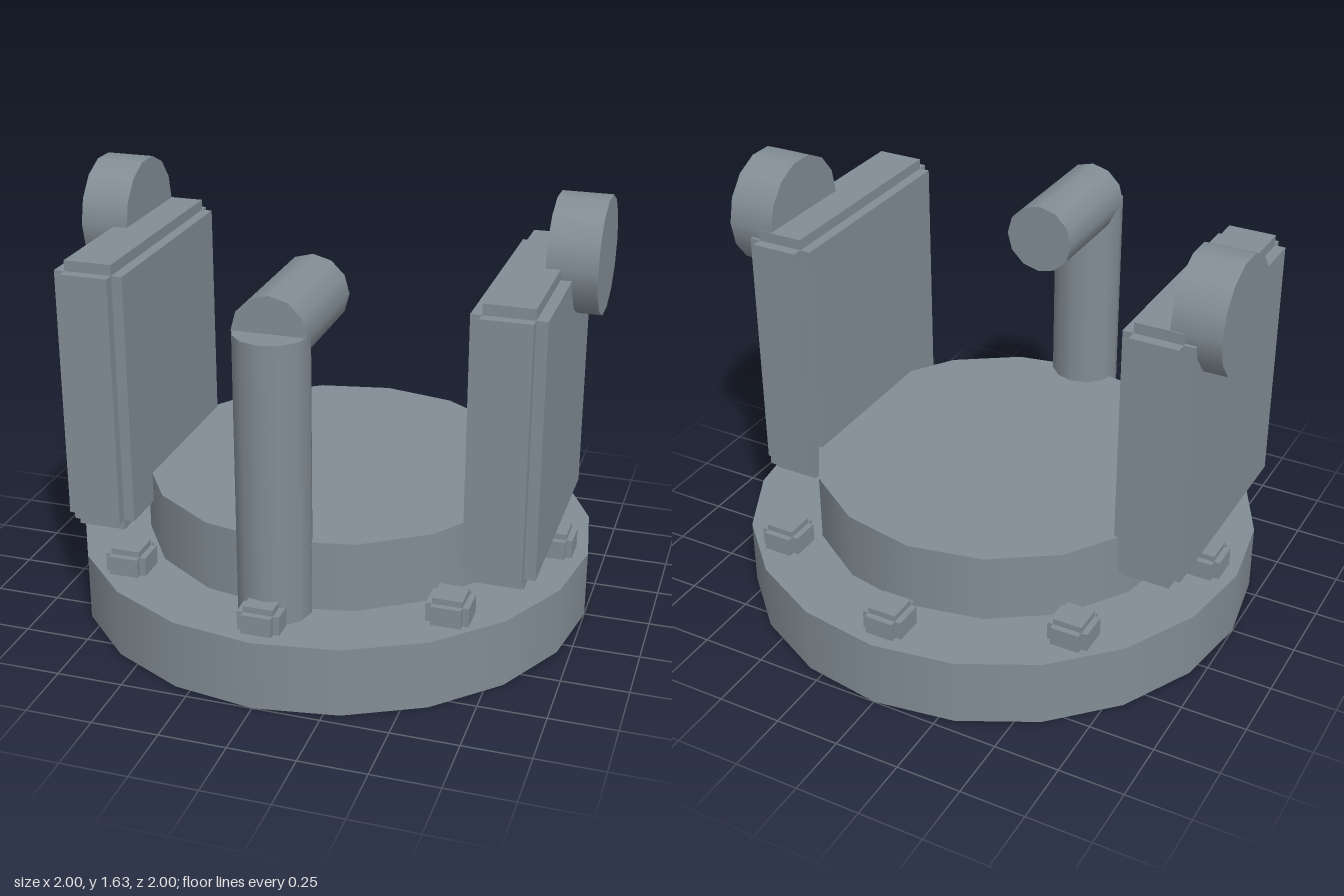
import * as THREE from 'three';

// Blue-grey painted steel
const material = new THREE.MeshStandardMaterial({ color: 0x828d95 });

function addMesh(parent, name, geometry, x, y, z) {
  const mesh = new THREE.Mesh(geometry, material);
  mesh.name = name;
  mesh.position.set(x, y, z);
  parent.add(mesh);
  return mesh;
}

// Block with stepped edges: three crossed boxes, each full length on one axis
function notchedBlock(parent, name, [w, h, d], step, x, y, z) {
  const block = new THREE.Group();
  block.name = name;
  block.position.set(x, y, z);
  for (let axis = 0; axis < 3; axis++) {
    const size = [w, h, d].map((s, i) => (i === axis ? s : s - 2 * step));
    addMesh(block, name + 'Core' + 'XYZ'[axis], new THREE.BoxGeometry(...size), 0, 0, 0);
  }
  parent.add(block);
}

export function createModel() {
  const model = new THREE.Group();
  model.name = 'clampFixture';

  // Flange and raised disc
  addMesh(model, 'baseFlange', new THREE.CylinderGeometry(1, 1, 0.263, 20), 0, 0.1315, 0);
  addMesh(model, 'raisedDisc', new THREE.CylinderGeometry(0.737, 0.737, 0.267, 16), 0, 0.3965, 0);

  // Ring of eight axis-aligned bolts
  for (let i = 0; i < 8; i++) {
    const a = (i * Math.PI) / 4;
    notchedBlock(model, 'bolt' + (i + 1), [0.157, 0.157, 0.157], 0.023,
      0.868 * Math.sin(a), 0.28, 0.868 * Math.cos(a));
  }

  // Side plates with a round knob at the upper rear
  for (const [side, s] of [['left', 1], ['right', -1]]) {
    notchedBlock(model, side + 'Plate', [0.265, 1.05, 0.95], 0.041, s * 0.765, 0.896, 0.104);
    const knob = addMesh(model, side + 'Knob',
      new THREE.CylinderGeometry(0.219, 0.219, 0.186, 14), s * 0.895, 1.42, -0.107);
    knob.rotation.z = Math.PI / 2;
  }

  // Front pipe: upright post and inward-pointing nozzle
  addMesh(model, 'pipePost', new THREE.CylinderGeometry(0.136, 0.136, 1.053, 12), 0, 0.79, 0.738);
  const nozzle = addMesh(model, 'pipeNozzle',
    new THREE.CylinderGeometry(0.136, 0.136, 0.473, 12), 0, 1.316, 0.527);
  nozzle.rotation.x = Math.PI / 2;

  return model;
}
